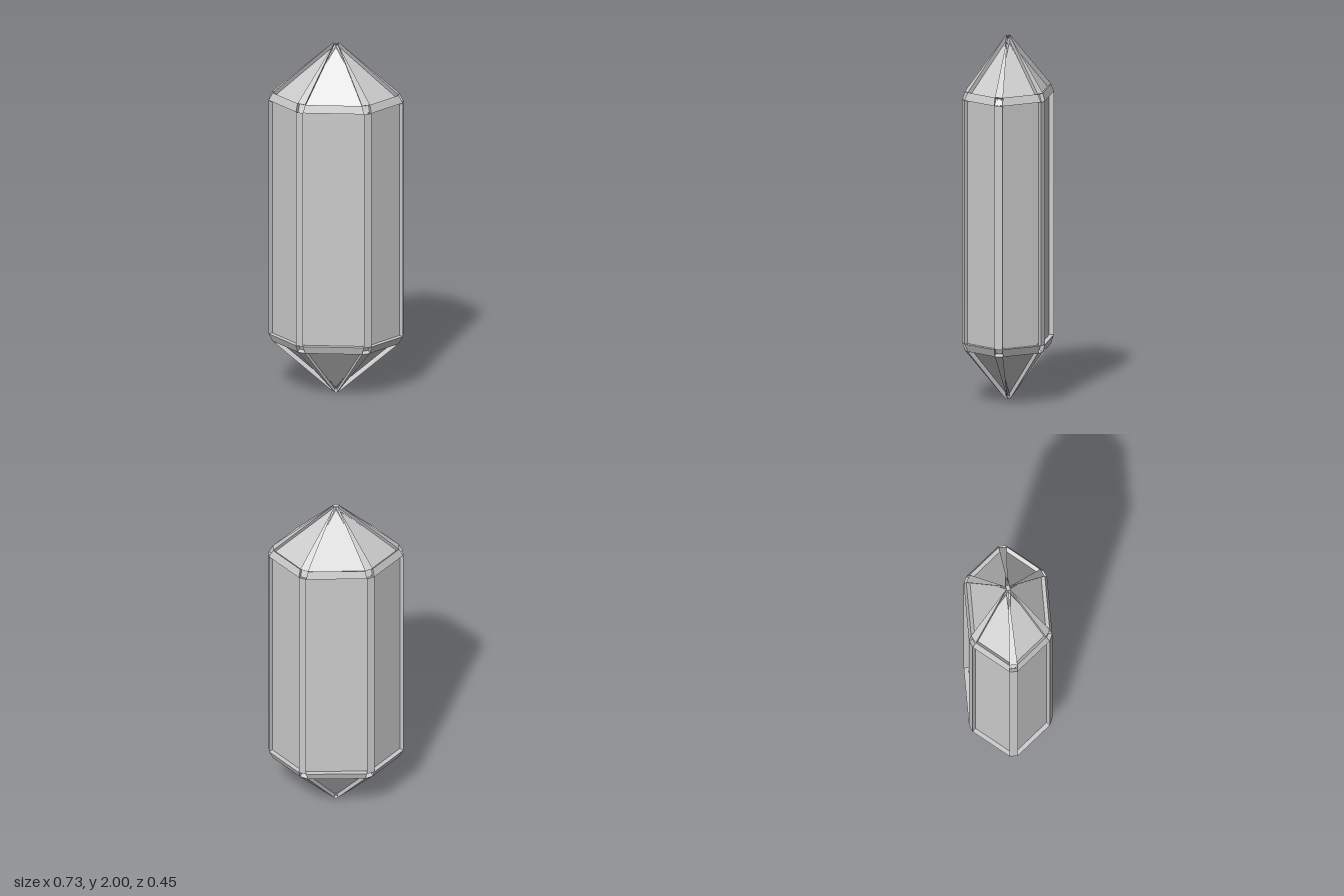
import * as THREE from 'three';

// Bevelled six-sided crystal: every corner of the hexagon is a pair of points.
const mirrorLoop = (sideX, sideZ, x1, z1, x2, z2) => [
  [sideX, sideZ], [sideX, -sideZ], [x1, -z1], [x2, -z2], [-x2, -z2], [-x1, -z1],
  [-sideX, -sideZ], [-sideX, sideZ], [-x1, z1], [-x2, z2], [x2, z2], [x1, z1],
];
const OUTER = mirrorLoop(0.365, 0.022, 0.205, 0.21, 0.166, 0.227);
const SHOULDER = mirrorLoop(0.342, 0.022, 0.197, 0.192, 0.155, 0.214);
const TIP = [[0.018, 0], [0.009, -0.012], [-0.009, -0.012], [-0.018, 0], [-0.009, 0.012], [0.009, 0.012]];
const DEPTH = 0.025; // how far the panels sink below the raised edge strips

const at = ([x, z], y) => new THREE.Vector3(x, y, z);

function facetMesh(name, material, build) {
  const points = [];
  const face = (...p) => {
    for (let i = 1; i < p.length - 1; i++) points.push(p[0], p[i], p[i + 1]);
  };
  // Sunken panel: a floor pushed in along the normal, with walls around it
  const panel = (...p) => {
    const push = p[2].clone().sub(p[0]).cross(p[3].clone().sub(p[1])).setLength(-DEPTH);
    const floor = p.map((v) => v.clone().add(push));
    face(...floor);
    p.forEach((v, i) => {
      const n = (i + 1) % p.length;
      face(v, p[n], floor[n], floor[i]);
    });
  };
  build(face, panel);
  const geometry = new THREE.BufferGeometry().setFromPoints(points);
  geometry.computeVertexNormals();
  const mesh = new THREE.Mesh(geometry, material);
  mesh.name = name;
  return mesh;
}

export function createModel() {
  const group = new THREE.Group();
  group.name = 'crystal';
  const material = new THREE.MeshStandardMaterial({ color: 0xcccccc, flatShading: true });
  const half = 0.67, shoulder = 0.713, tip = 1; // heights from the middle

  // Straight shaft: narrow edge strips alternate with sunken panels
  const shaft = facetMesh('shaft', material, (face, panel) => {
    for (let k = 0; k < 12; k++) {
      const a = OUTER[k], b = OUTER[(k + 1) % 12];
      const add = k % 2 ? panel : face;
      add(at(a, -half), at(b, -half), at(b, half), at(a, half));
    }
  });

  // Pointed cap: raised ridges and shoulder bands, sunken facets and corners
  const topCap = facetMesh('topPoint', material, (face, panel) => {
    for (let k = 0; k < 12; k++) {
      const n = (k + 1) % 12;
      const low = [at(OUTER[k], half), at(OUTER[n], half)];
      const a = at(SHOULDER[k], shoulder), b = at(SHOULDER[n], shoulder);
      const tipA = at(TIP[Math.floor(k / 2)], tip), tipB = at(TIP[Math.floor(n / 2)], tip);
      if (k % 2 === 0) {
        panel(...low, b, a); // corner
        face(a, b, tipA); // ridge
      } else {
        face(...low, b, a); // shoulder band
        panel(a, b, tipB, tipA); // facet
      }
    }
    face(...TIP.map((p) => at(p, tip)));
  });

  // The lower point is the upper one turned over
  const bottomCap = topCap.clone();
  bottomCap.name = 'bottomPoint';
  bottomCap.rotation.x = Math.PI;

  group.add(shaft, topCap, bottomCap);
  for (const part of group.children) part.position.y = 1;
  return group;
}
